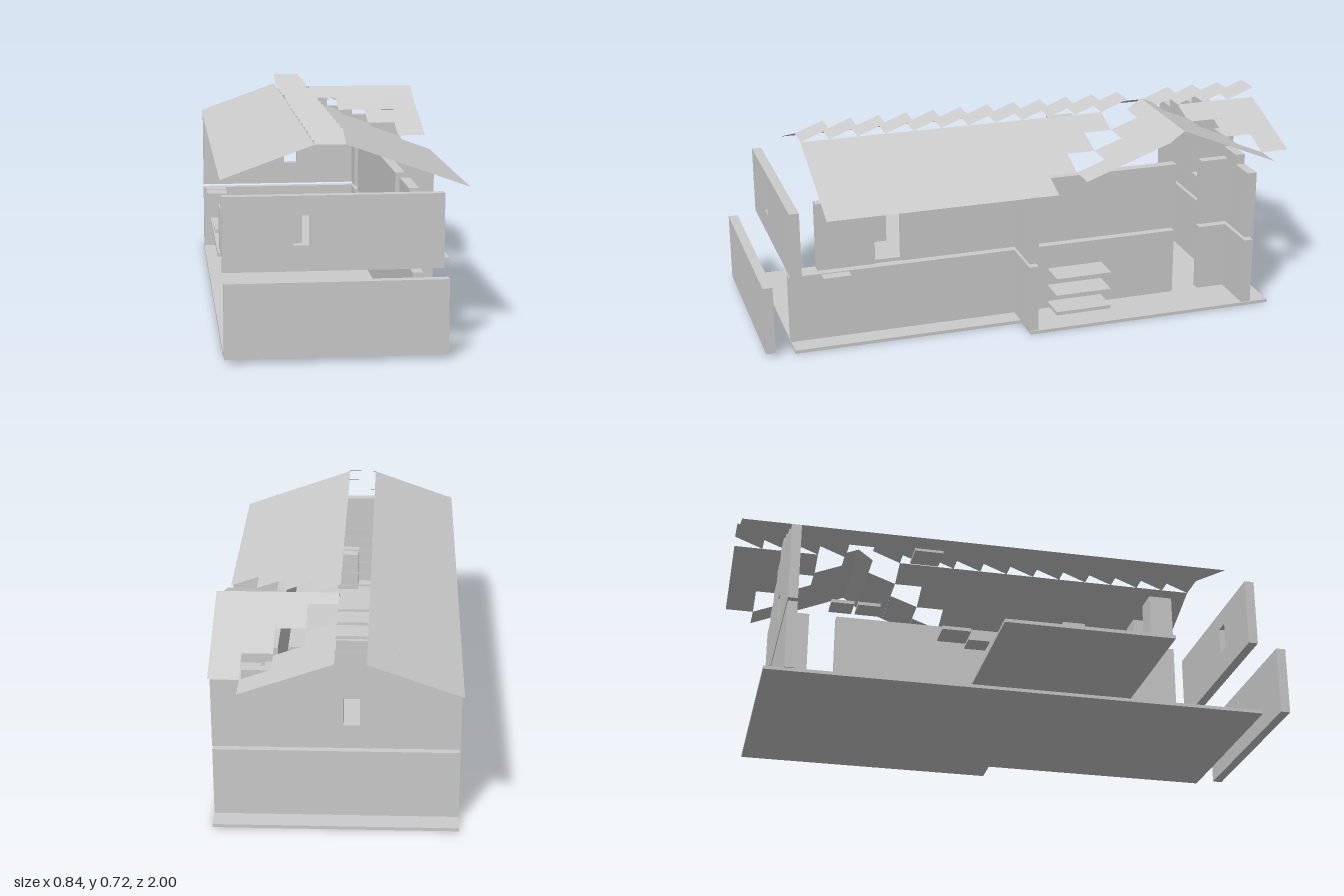
import * as THREE from 'three';

const U = 0.105; // module size

export function createModel() {
  const model = new THREE.Group();
  model.name = 'house';
  const grey = new THREE.MeshStandardMaterial({ color: 0xcccccc, side: THREE.DoubleSide });
  grey.name = 'pale grey';

  const add = (name, geo, parent = model) => {
    const m = new THREE.Mesh(geo, grey);
    m.name = name;
    parent.add(m);
    return m;
  };
  const group = (name) => {
    const g = new THREE.Group();
    g.name = name;
    model.add(g);
    return g;
  };
  // Box given by its limits on each axis
  const box = (name, x0, x1, y0, y1, z0, z1, parent) =>
    add(name, new THREE.BoxGeometry(x1 - x0, y1 - y0, z1 - z0), parent)
      .position.set((x0 + x1) / 2, (y0 + y1) / 2, (z0 + z1) / 2);
  // Upright panel in the xy plane with a window opening
  const panel = (name, outline, wx, z0) => {
    const shape = new THREE.Shape(outline.map(([x, y]) => new THREE.Vector2(x, y)));
    const hole = new THREE.Path();
    hole.moveTo(wx, 0.365).lineTo(wx, 0.465).lineTo(wx + 0.055, 0.465).lineTo(wx + 0.055, 0.365).closePath();
    shape.holes.push(hole);
    add(name, new THREE.ExtrudeGeometry(shape, { depth: 0.035, bevelEnabled: false })).position.z = z0;
  };
  // Thin sheet from four corners, counter-clockwise from above
  const sheet = (name, a, b, c, d, parent) => {
    const geo = new THREE.BufferGeometry();
    geo.setAttribute('position', new THREE.Float32BufferAttribute([a, b, c, a, c, d].flat(), 3));
    geo.computeVertexNormals();
    add(name, geo, parent);
  };

  // Floors
  box('groundFloor', -0.42, 0.315, 0, 0.012, -0.895, 0.895);
  box('porchFloor', 0.315, 0.42, 0, 0.012, -0.895, 0.05);
  box('upperFloor', -0.42, 0.21, 0.265, 0.278, -0.055, 0.58);
  box('landing', -0.315, -0.21, 0.265, 0.278, -0.26, -0.155);

  // Lower walls
  const low = group('lowerWalls'), lo = 0.014, lt = 0.265;
  box('lowerFrontWall', -0.42, 0.315, lo, lt, 0.965, 1, low);
  box('lowerBackWall', -0.42, 0.42, lo, lt, -0.825, -0.79, low);
  box('lowerSideWall', 0.21, 0.245, lo, lt, -0.58, 0.895, low);
  box('lowerSideWallEnd', 0.21, 0.245, lo, lt, -0.79, -0.685, low);
  box('lowerPorchWall', 0.245, 0.42, lo, lt, 0.02, 0.055, low);

  // Upper walls
  const up = group('upperWalls'), uo = 0.278, ut = 0.53;
  box('upperSideWallFront', 0.21, 0.245, uo, ut, 0.58, 0.79, up);
  box('upperSideWall', 0.21, 0.245, uo, ut, -0.58, 0.48, up);
  box('upperSideWallEnd', 0.21, 0.245, uo, ut, -0.79, -0.685, up);
  box('upperPorchWall', 0.245, 0.42, uo, ut, 0.02, 0.055, up);
  panel('upperFrontWall', [[-0.42, uo], [0.315, uo], [0.315, ut], [-0.42, ut]], -0.185, 0.86);

  // Stepped gable at the back
  const gable = [[0.42, uo], [-0.42, uo]];
  [0.567, 0.605, 0.643, 0.68, 0.643, 0.605, 0.567, 0.53].forEach((y, i) => {
    gable.push([-0.42 + i * U, y], [-0.42 + (i + 1) * U, y]);
  });
  panel('backGable', gable, -0.08, -0.825);

  // Porch stair treads
  const stairs = group('stairs');
  for (let i = 0; i < 3; i++) {
    const y = 0.062 + i * 0.0655;
    box('tread', 0.315, 0.42, y, y + 0.013, -0.26, -0.05, stairs);
  }

  // Furniture blocks and low plates
  const items = group('furniture');
  for (const [x, z] of [[-0.37, 0.53], [-0.17, 0.53], [0, 0.53]])
    box('cabinet', x - 0.042, x + 0.042, 0.278, 0.43, z - 0.042, z + 0.042, items);
  for (const [x, z] of [[-0.375, 0.2], [-0.18, -0.105], [-0.375, -0.54], [-0.375, -0.633]])
    box('lowPlate', x - 0.04, x + 0.04, 0.278, 0.29, z - 0.04, z + 0.04, items);
  box('sideLedge', 0.31, 0.35, 0.278, 0.29, 0.69, 0.79, items);
  box('roofPlank', -0.315, -0.21, 0.57, 0.58, -0.365, -0.26, items);

  // Main roof: whole slope on one side, stepped round the dormer on the other
  const roof = group('roof');
  const zf = 0.785, zb = -1;
  sheet('leftSlope', [-0.42, 0.567, zb], [-0.42, 0.567, zf], [-U, 0.68, zf], [-U, 0.68, zb], roof);
  const strip = (k, z0, z1) => {
    const y = (i) => 0.68 - i * 0.0377;
    sheet('rightSlope', [k * U, y(k), z0], [k * U, y(k), z1],
      [(k + 1) * U, y(k + 1), z1], [(k + 1) * U, y(k + 1), z0], roof);
  };
  for (let k = 0; k < 4; k++) {
    strip(k, -0.37 + k * U, zf);
    if (k < 3) strip(k, zb, -0.685 - k * U);
  }

  // Tilted ridge tiles, one missing at the dormer
  for (let i = 0; i < 17; i++) {
    if (i === 12) continue;
    const z = zf - i * U;
    sheet('ridgeTile', [-U, 0.68, z], [0, 0.68, z], [0, 0.72, z - U], [-U, 0.72, z - U], roof);
  }

  // Dormer roof: strips that shorten towards the ridge of the main roof
  const dormer = group('dormerRoof');
  const band = (x0, za, ya, zc, yc) =>
    sheet('dormerSlope', [x0, ya, za], [0.42, ya, za], [0.42, yc, zc], [x0, yc, zc], dormer);
  const backY = (z) => 0.72 + (z + 0.53) * 0.419;
  for (let k = 0; k < 3; k++) {
    const x0 = (k + 1) * U;
    band(x0, -0.37 + k * U, 0.643 - k * 0.0377, -0.475 + k * U, 0.68 - k * 0.0377);
    const z = -0.58 - k * U;
    band(x0, z, backY(z), z - U, backY(z - U));
  }
  band(0, -0.475, 0.68, -0.53, 0.72);
  band(0, -0.53, 0.72, -0.58, backY(-0.58));

  return model;
}
